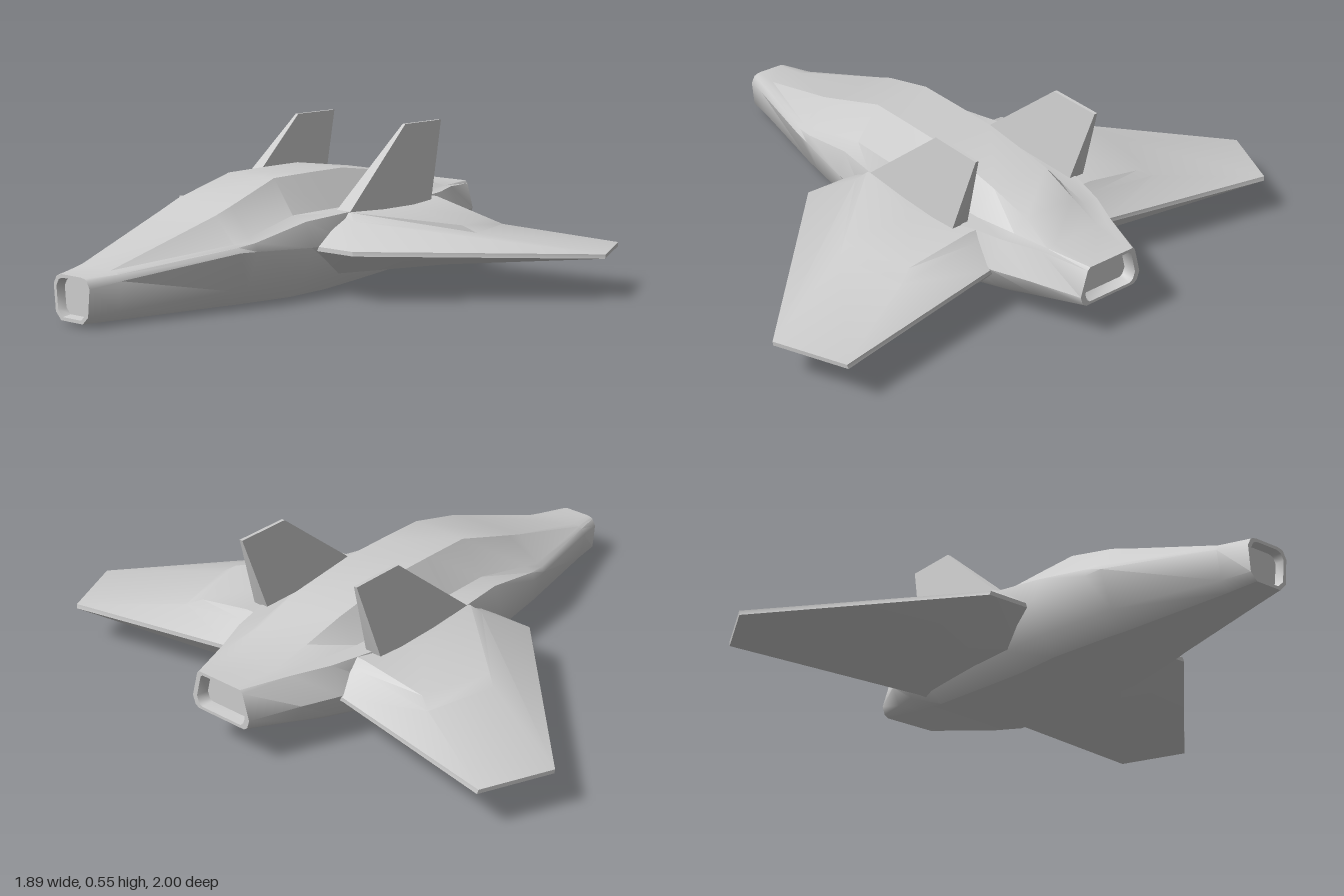
import * as THREE from 'three';
import { toCreasedNormals } from 'three/addons/utils/BufferGeometryUtils.js';

const material = new THREE.MeshStandardMaterial({ color: 0xcccccc });

// Skin a list of closed rings of [x, y, z] points and cap both ends.
function loft(name, rings, crease) {
  const n = rings[0].length;
  const pts = rings.flat();
  const idx = [];
  for (let r = 0; r < rings.length - 1; r++) {
    for (let i = 0; i < n; i++) {
      const a = r * n + i, b = r * n + (i + 1) % n;
      idx.push(a, b, a + n, b, b + n, a + n);
    }
  }
  const cap = (start, flip) => {
    const ring = pts.slice(start, start + n);
    const c = pts.push([0, 1, 2].map(k => ring.reduce((s, p) => s + p[k], 0) / n)) - 1;
    for (let i = 0; i < n; i++) {
      const a = start + i, b = start + (i + 1) % n;
      idx.push(...(flip ? [c, b, a] : [c, a, b]));
    }
  };
  cap(0, true);
  cap((rings.length - 1) * n, false);

  // Turn the faces outward when the enclosed volume comes out negative.
  const v = pts.map(p => new THREE.Vector3(...p));
  let volume = 0;
  for (let i = 0; i < idx.length; i += 3) {
    volume += v[idx[i]].dot(v[idx[i + 1]].clone().cross(v[idx[i + 2]]));
  }
  if (volume < 0) idx.reverse();

  const g = new THREE.BufferGeometry();
  g.setAttribute('position', new THREE.Float32BufferAttribute(pts.flat(), 3));
  g.setIndex(idx);
  const mesh = new THREE.Mesh(toCreasedNormals(g, crease), material);
  mesh.name = name;
  return mesh;
}

// Half sections [x, y, z, y, z ...]: belly, chamfer, widest, shoulder, cabin base, cabin top.
const sections = [
  [-0.95, 0.015, 0.05, 0.04, 0.075, 0.13, 0.083, 0.155, 0.07, 0.16, 0.06, 0.163, 0.045],
  [-0.84, 0.012, 0.065, 0.045, 0.095, 0.145, 0.112, 0.165, 0.10, 0.17, 0.085, 0.172, 0.06],
  [-0.43, 0.005, 0.13, 0.065, 0.19, 0.195, 0.235, 0.212, 0.225, 0.22, 0.205, 0.305, 0.12],
  [-0.36, 0.004, 0.145, 0.065, 0.2, 0.192, 0.245, 0.22, 0.235, 0.235, 0.205, 0.33, 0.125],
  [-0.13, 0.002, 0.18, 0.065, 0.235, 0.18, 0.275, 0.265, 0.25, 0.28, 0.19, 0.398, 0.105],
  [0.05, 0.004, 0.18, 0.065, 0.245, 0.18, 0.3, 0.28, 0.28, 0.281, 0.19, 0.4, 0.105],
  [0.22, 0.015, 0.18, 0.07, 0.245, 0.18, 0.29, 0.28, 0.27, 0.281, 0.19, 0.4, 0.105],
  [0.5, 0.035, 0.18, 0.085, 0.235, 0.18, 0.27, 0.28, 0.245, 0.281, 0.18, 0.362, 0.11],
  [0.65, 0.065, 0.155, 0.1, 0.205, 0.185, 0.25, 0.28, 0.205, 0.281, 0.15, 0.318, 0.1],
  [0.78, 0.1, 0.13, 0.12, 0.165, 0.185, 0.195, 0.28, 0.15, 0.281, 0.125, 0.282, 0.09],
  [0.945, 0.14, 0.1, 0.15, 0.115, 0.18, 0.125, 0.27, 0.1, 0.28, 0.09, 0.28, 0.07],
];

function fuselageRing([x, ...s]) {
  const half = [];
  for (let i = 0; i < s.length; i += 2) half.push([x, s[i], s[i + 1]]);
  return [...half, ...half.map(([a, y, z]) => [a, y, -z]).reverse()];
}

// Shrink an end ring around its centre and move it along x.
function inset(ring, scale, dx) {
  const ys = ring.map(p => p[1]);
  const cy = (Math.min(...ys) + Math.max(...ys)) / 2;
  return ring.map(([x, y, z]) => [x + dx, cy + (y - cy) * scale, z * scale]);
}

// Wing rings from underside to raised upper panel.
const wingRings = [
  [[0.02, 0.06, 0.18], [0.04, 0.068, 0.25], [0.3, 0.095, 0.5], [0.52, 0.095, 0.45], [0.56, 0.075, 0.23], [0.56, 0.07, 0.15]],
  [[-0.1, 0.165, 0.2], [-0.1, 0.165, 0.43], [0.52, 0.145, 0.998], [0.76, 0.145, 0.89], [0.65, 0.165, 0.25], [0.65, 0.165, 0.15]],
  [[-0.1, 0.18, 0.2], [-0.1, 0.18, 0.425], [0.52, 0.16, 1], [0.757, 0.16, 0.893], [0.65, 0.18, 0.25], [0.65, 0.18, 0.15]],
  [[0.02, 0.26, 0.2], [0.03, 0.255, 0.32], [0.33, 0.212, 0.61], [0.57, 0.207, 0.54], [0.58, 0.25, 0.25], [0.58, 0.25, 0.15]],
  [[0.05, 0.279, 0.2], [0.05, 0.279, 0.29], [0.3, 0.237, 0.57], [0.54, 0.23, 0.49], [0.555, 0.279, 0.26], [0.555, 0.279, 0.15]],
];

// Tapered slab: one level of a tail fin.
const finRing = (y, x0, x1, t) =>
  [[x0, y, 0.25 - t], [x1, y, 0.25 - t], [x1, y, 0.25 + t], [x0, y, 0.25 + t]];
const finRings = [finRing(0.24, 0.01, 0.485, 0.034), finRing(0.28, 0.06, 0.5, 0.03), finRing(0.55, 0.38, 0.58, 0.006)];

export function createModel() {
  const model = new THREE.Group();
  model.name = 'aircraft';

  // Body with recessed nose intake and tail exhaust
  const body = sections.map(fuselageRing);
  const nose = body[0], tail = body[body.length - 1];
  model.add(loft('fuselage', [
    inset(nose, 0.78, 0.03), inset(nose, 0.85, 0), ...body,
    inset(tail, 0.85, 0), inset(tail, 0.78, -0.04),
  ], 0.7));

  // Wings and tail fins, one of each per side
  for (const [side, sign] of [['left', 1], ['right', -1]]) {
    const place = rings => rings.map(r => r.map(([x, y, z]) => [x, y, z * sign]));
    model.add(loft(side === 'left' ? 'frontSideWing' : 'rearSideWing', place(wingRings), 0.7));
    model.add(loft(side === 'left' ? 'frontSideTailFin' : 'rearSideTailFin', place(finRings), 0.5));
  }
  return model;
}
